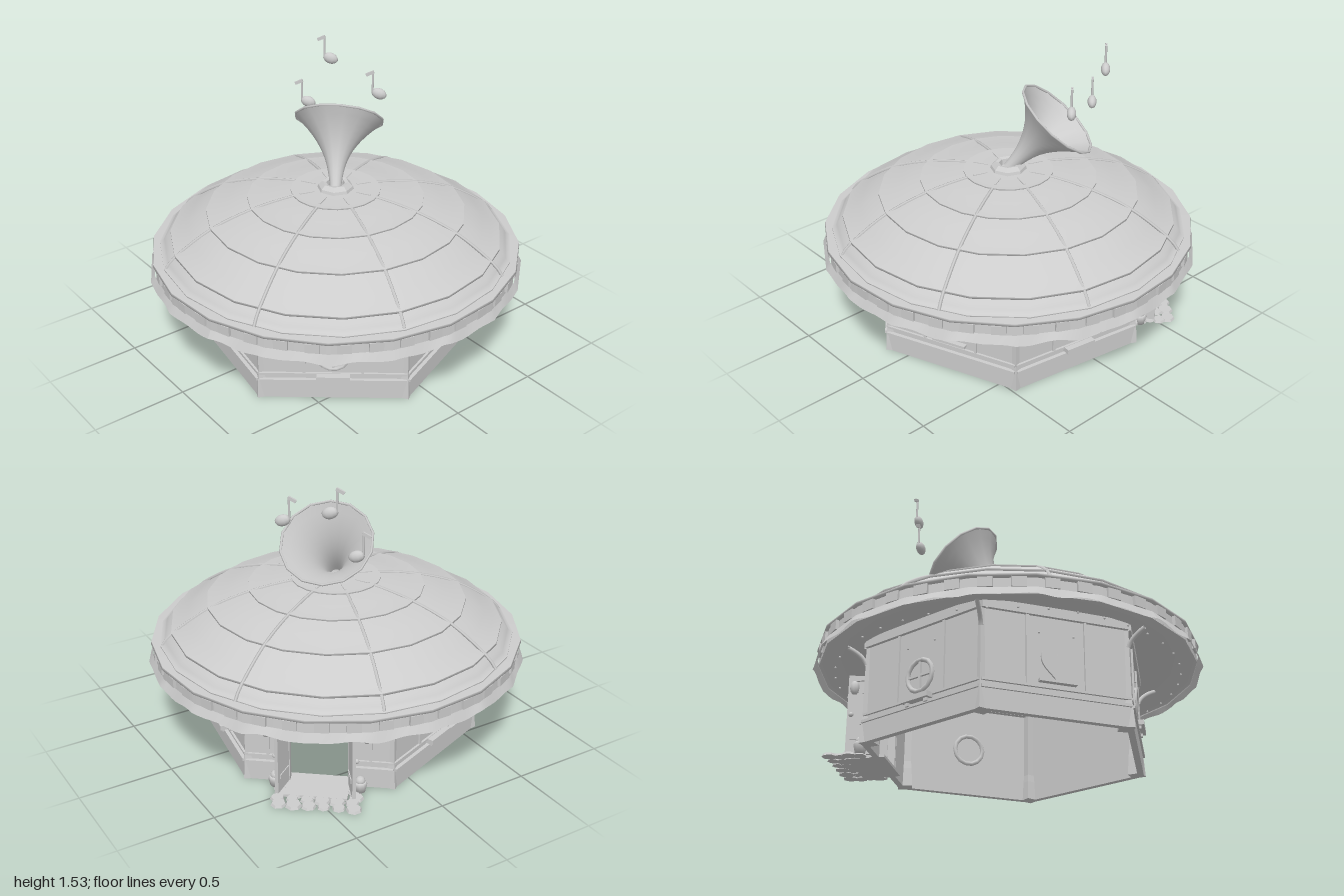
import * as THREE from 'three';

const rad = THREE.MathUtils.degToRad;

export function createModel() {
  const model = new THREE.Group();
  const plain = new THREE.MeshStandardMaterial({ color: 0xcccccc, side: THREE.DoubleSide });
  plain.name = 'pale grey';

  const add = (parent, name, geo, x = 0, y = 0, z = 0) => {
    const m = new THREE.Mesh(geo, plain);
    m.name = name;
    m.position.set(x, y, z);
    parent.add(m);
    return m;
  };
  const box = (parent, name, w, h, d, x, y, z) => add(parent, name, new THREE.BoxGeometry(w, h, d), x, y, z);
  const flat = (geo) => { const g = geo.toNonIndexed(); g.computeVertexNormals(); return g; };
  const V2 = (x, y) => new THREE.Vector2(x, y);
  const V3 = (x, y, z) => new THREE.Vector3(x, y, z);
  // A group whose local +z points outward at angle a (degrees from +x towards +z)
  const facing = (name, a) => {
    const g = new THREE.Group();
    g.name = name;
    g.rotation.y = rad(90 - a);
    model.add(g);
    return g;
  };

  // ---- Hexagonal walls ----
  const R = 0.75, AP = R * Math.cos(Math.PI / 6), T = 0.022, TOP = 0.55;
  const doorHalf = 0.16, doorTop = 0.45;

  function wallStrip(g, name, y0, y1, out, hasDoor) {
    const h = y1 - y0, y = (y0 + y1) / 2, d = T + out, z = AP - T / 2 + out / 2;
    if (!hasDoor || y0 >= doorTop) return box(g, name, R, h, d, 0, y, z);
    const w = R / 2 - doorHalf;
    for (const s of [-1, 1]) box(g, name, w, h, d, s * (doorHalf + w / 2), y, z);
  }

  function heartPanel(g) {
    const s = new THREE.Shape();
    s.moveTo(0, -0.085);
    s.bezierCurveTo(-0.03, -0.04, -0.08, -0.02, -0.08, 0.035);
    s.bezierCurveTo(-0.08, 0.085, -0.015, 0.09, 0, 0.045);
    s.bezierCurveTo(0.015, 0.09, 0.08, 0.085, 0.08, 0.035);
    s.bezierCurveTo(0.08, -0.02, 0.03, -0.04, 0, -0.085);
    add(g, 'heart window', new THREE.ExtrudeGeometry(s, { depth: 0.009, bevelEnabled: false, curveSegments: 8 }), 0, 0.262, AP);
    box(g, 'heart sill', 0.19, 0.014, 0.03, 0, 0.173, AP + 0.012);
  }

  function roundWindow(g) {
    for (const z of [AP + 0.006, AP - T]) add(g, 'round window frame', new THREE.TorusGeometry(0.08, 0.012, 6, 14), 0, 0.255, z);
    box(g, 'window bar', 0.012, 0.16, 0.014, 0, 0.255, AP + 0.005);
    box(g, 'window bar', 0.16, 0.012, 0.014, 0, 0.255, AP + 0.005);
    box(g, 'window box', 0.17, 0.026, 0.045, 0, 0.135, AP + 0.022);
    for (const s of [-1, 1]) box(g, 'window box foot', 0.02, 0.02, 0.03, s * 0.06, 0.115, AP + 0.015);
  }

  function doorway(g) {
    for (const s of [-1, 1]) {
      box(g, 'door frame', 0.025, doorTop, 0.04, s * doorHalf, doorTop / 2, AP);
      const hinge = new THREE.Group();
      hinge.name = 'door leaf';
      hinge.position.set(s * doorHalf, 0, AP + 0.02);
      hinge.rotation.y = s * rad(105);
      g.add(hinge);
      box(hinge, 'door board', 0.13, 0.42, 0.018, -s * 0.065, 0.225, 0);
      for (const y of [0.1, 0.35]) box(hinge, 'door strap', 0.1, 0.02, 0.028, -s * 0.06, y, 0);
      add(hinge, 'door knob', new THREE.SphereGeometry(0.013, 8, 6), -s * 0.11, 0.22, 0.015);
      // Planters and lanterns beside the door
      const pot = [V2(0, 0), V2(0.026, 0), V2(0.036, 0.04), V2(0.03, 0.055), V2(0, 0.055)];
      add(g, 'planter', new THREE.LatheGeometry(pot, 10), s * 0.215, 0.008, AP + 0.06);
      add(g, 'planter leaves', new THREE.IcosahedronGeometry(0.026, 1), s * 0.215, 0.068, AP + 0.06);
      box(g, 'lantern arm', 0.012, 0.012, 0.1, s * 0.25, 0.385, AP + 0.05);
      const lantern = add(g, 'lantern', new THREE.SphereGeometry(0.025, 8, 6), s * 0.25, 0.345, AP + 0.095);
      lantern.scale.y = 1.5;
    }
    // Doorstep with low paving stones
    box(g, 'doorstep', 0.32, 0.014, 0.2, 0, 0.007, AP + 0.05);
    for (let j = 0; j < 4; j++) for (let i = 0; i < 6; i++) {
      const k = 1 + 0.15 * Math.sin(i * 5 + j * 3);
      const stone = add(g, 'paving stone', flat(new THREE.CylinderGeometry(0.032 * k, 0.038 * k, 0.012 * k, 7)),
        (i - 2.5) * 0.075 + 0.015 * (j % 2), 0.007, AP + 0.07 + j * 0.05);
      stone.rotation.y = i + j * 2;
    }
  }

  for (let i = 0; i < 6; i++) {
    const a = 39 + i * 60, hasDoor = i === 3;
    const g = facing('wall', a);
    wallStrip(g, 'wall panel', 0, TOP, 0, hasDoor);
    wallStrip(g, 'plinth', 0, 0.1, 0.01, hasDoor);
    wallStrip(g, 'lower rail', 0.1, 0.114, 0.02, hasDoor);
    wallStrip(g, 'upper rail', 0.138, 0.15, 0.012, hasDoor);
    wallStrip(g, 'top beam', 0.5, TOP, 0.018, false);
    box(g, 'inner beam', R - 0.05, 0.03, 0.03, 0, 0.505, AP - T - 0.012);
    const battens = hasDoor ? 0.26 : 0.148;
    for (const s of [-1, 1]) {
      box(g, 'batten', 0.014, 0.36, 0.012, s * battens, 0.32, AP + 0.004);
      add(g, 'stud', new THREE.SphereGeometry(0.006, 6, 4), s * (battens - 0.06), 0.418, AP + 0.003);
    }
    if (hasDoor) doorway(g);
    else if (i === 1 || i === 5) heartPanel(g);
    else roundWindow(g);

    // Square corner post, edge outward, with spreading foot and a small curved bracket
    const c = facing('corner', a + 30);
    const profile = [V2(0, 0), V2(0.052, 0), V2(0.044, 0.1), V2(0.038, 0.14), V2(0.036, TOP), V2(0, TOP)];
    add(c, 'corner post', flat(new THREE.LatheGeometry(profile, 4)), 0, 0, R - 0.03);
    const bend = new THREE.QuadraticBezierCurve3(V3(0, 0.41, R), V3(0, 0.46, R + 0.02), V3(0, 0.49, R + 0.1));
    add(c, 'eave bracket', new THREE.TubeGeometry(bend, 8, 0.011, 6));
  }

  // ---- Roof ----
  const SIDES = 20, DOME = rad(72.5), RIM = rad(14);
  const ring = (name, pts, start = RIM) => add(model, name, new THREE.LatheGeometry(pts, SIDES, start));
  const dome = new THREE.SplineCurve([V2(0, 0.872), V2(0.23, 0.862), V2(0.46, 0.824), V2(0.68, 0.75), V2(0.875, 0.628), V2(0.935, 0.56)]);
  for (let i = 0; i < 5; i++) {
    const pts = [];
    for (let k = 4; k >= 0; k--) pts.push(dome.getPoint((i + k / 4) / 5));
    const e = pts[0];
    e.x += 0.008;
    e.y += 0.006;
    ring('roof tier', pts, DOME);
    ring('roof tier lip', [V2(e.x - 0.012, e.y - 0.014), V2(e.x, e.y - 0.012), e.clone()], DOME);
  }
  for (let i = 0; i < 8; i++) {
    const g = facing('roof rib', 17.5 + i * 45);
    const pts = [];
    for (let k = 0; k <= 14; k++) {
      const p = dome.getPoint(0.2 + 0.8 * k / 14);
      pts.push(V3(0, p.y, p.x));
    }
    add(g, 'rib', new THREE.TubeGeometry(new THREE.CatmullRomCurve3(pts), 18, 0.009, 5));
    box(g, 'crown strip', 0.01, 0.01, 0.08, 0, 0.866, 0.16);
  }

  // Eaves: rim, fascia, underside ring open to the dome inside
  ring('rim top', [V2(0.985, 0.558), V2(0.92, 0.562)]);
  ring('rim edge', [V2(0.97, 0.542), V2(0.988, 0.545), V2(0.985, 0.558)]);
  ring('fascia', [V2(0.975, 0.46), V2(0.97, 0.545)]);
  ring('roof underside', [V2(0.64, 0.55), V2(0.72, 0.547), V2(0.95, 0.48), V2(0.975, 0.465)]);
  for (let i = 0; i < 40; i++) {
    const g = facing('fascia block', 4 + (i + 0.5) * 9);
    box(g, 'block', 0.07, 0.05, 0.016, 0, 0.517, 0.97);
    add(g, 'hanging bead', new THREE.SphereGeometry(0.006, 6, 4), 0, 0.43, 0.89);
  }

  // Valance: faceted flaring skirt with a gently uneven lower edge
  const skirt = new THREE.CylinderGeometry(0.982, 1.004, 0.05, 160, 1, true, RIM);
  const p = skirt.attributes.position;
  for (let i = 0; i < p.count; i++) {
    const a = Math.atan2(p.getX(i), p.getZ(i)) - RIM, step = 2 * Math.PI / SIDES;
    const off = a - step * Math.floor(a / step) - step / 2;
    const k = Math.cos(step / 2) / Math.cos(off);
    p.setX(i, p.getX(i) * k);
    p.setZ(i, p.getZ(i) * k);
    if (p.getY(i) < 0) p.setY(i, p.getY(i) + 0.006 + 0.005 * Math.sin(a * 27) + 0.004 * Math.sin(a * 16 + 1));
  }
  skirt.computeVertexNormals();
  add(model, 'valance', skirt, 0, 0.466, 0);

  // ---- Horn ----
  const collar = [V2(0.1, 0.86), V2(0.092, 0.885), V2(0.07, 0.905), V2(0.05, 0.9), V2(0.045, 0.87)];
  add(model, 'horn collar', flat(new THREE.LatheGeometry(collar, 8)));
  const axis = V3(-0.464, 0.755, -0.464).normalize(), mouth = V3(-0.187, 1.155, -0.17);
  const path = new THREE.QuadraticBezierCurve3(V3(0, 0.87, 0), mouth.clone().addScaledVector(axis, -0.25), mouth);
  const N = 14, S = 14, verts = [], index = [];
  const side = V3(1, 0, -1).normalize();
  for (let i = 0; i <= N; i++) {
    const t = i / N, c = path.getPoint(t), up = side.clone().cross(path.getTangent(t)).normalize();
    const r = 0.03 + 0.03 * t + 0.176 * t ** 3.2;
    for (let j = 0; j < S; j++) {
      const a = j / S * 2 * Math.PI;
      verts.push(...c.clone().addScaledVector(side, r * Math.cos(a)).addScaledVector(up, r * Math.sin(a)).toArray());
      const b = i * S + j, n = i * S + (j + 1) % S;
      if (i < N) index.push(b, n, b + S, n, n + S, b + S);
    }
  }
  const horn = new THREE.BufferGeometry();
  horn.setAttribute('position', new THREE.Float32BufferAttribute(verts, 3));
  horn.setIndex(index);
  horn.computeVertexNormals();
  add(model, 'horn', horn);
  const lip = add(model, 'horn lip', new THREE.TorusGeometry(0.236, 0.007, 5, S), mouth.x, mouth.y, mouth.z);
  lip.quaternion.setFromUnitVectors(V3(0, 0, 1), axis);

  // ---- Floating music notes ----
  for (const [x, y, z] of [[-0.41, 1.405, -0.285], [-0.45, 1.17, -0.16], [-0.092, 1.28, -0.365]]) {
    const g = new THREE.Group();
    g.name = 'music note';
    g.position.set(x, y, z);
    g.rotation.y = rad(45);
    model.add(g);
    const head = add(g, 'note head', new THREE.SphereGeometry(0.04, 10, 8));
    head.scale.set(1.05, 0.75, 0.6);
    head.rotation.z = -0.35;
    add(g, 'note stem', new THREE.CylinderGeometry(0.006, 0.006, 0.12, 6), -0.034, 0.065, 0);
    const flag = box(g, 'note flag', 0.045, 0.016, 0.012, -0.05, 0.113, 0);
    flag.rotation.z = 0.45;
  }
  return model;
}
